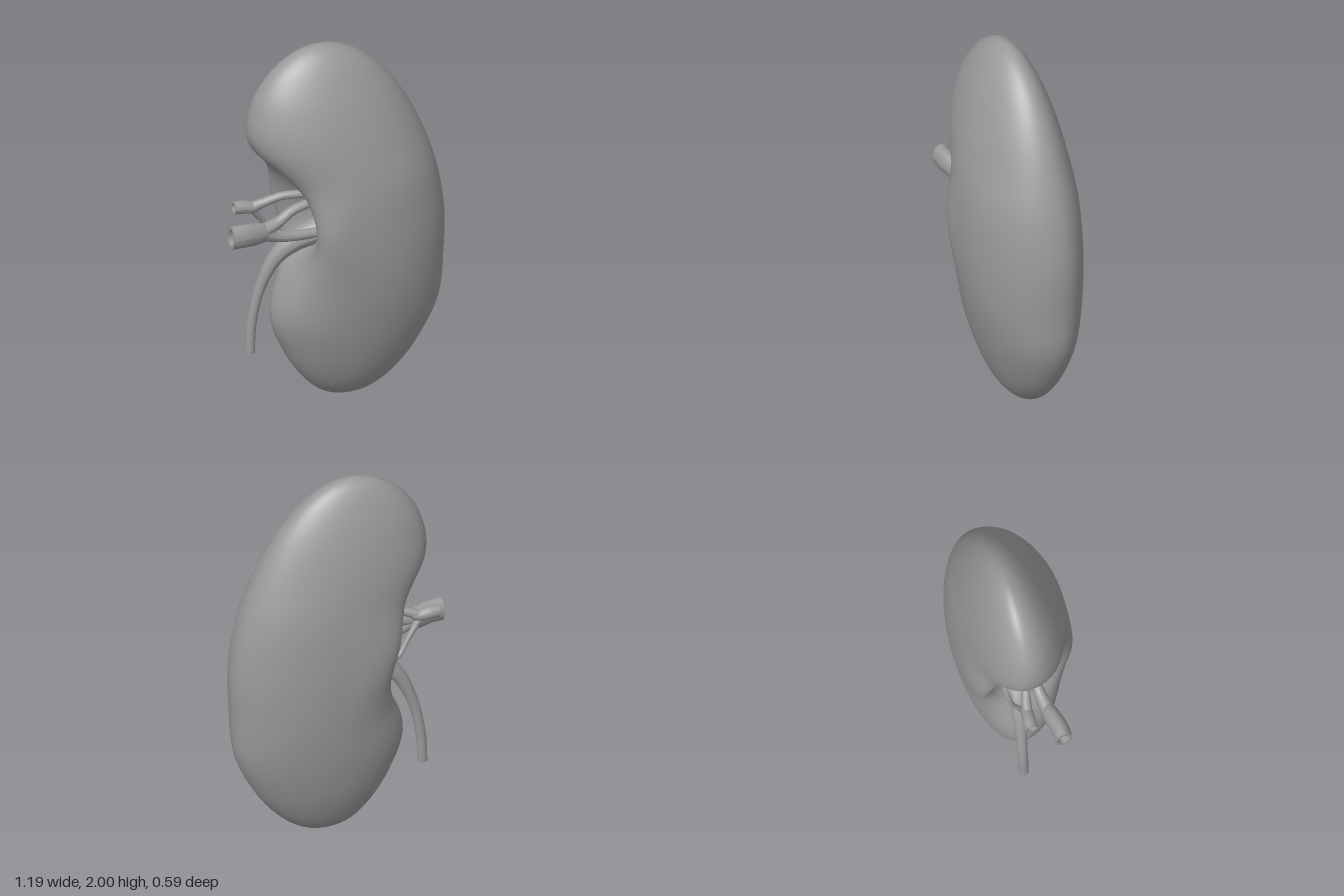
import * as THREE from 'three';
import { mergeVertices } from 'three/addons/utils/BufferGeometryUtils.js';

const V = (p) => new THREE.Vector3(...p);

// Smooth interpolation through evenly spaced stations, t in 0..1
function sample(list, t) {
  const f = t * (list.length - 1), i = Math.min(Math.floor(f), list.length - 2), u = f - i;
  const at = (k) => list[Math.max(0, Math.min(list.length - 1, k))];
  const a = at(i - 1), b = at(i), c = at(i + 1), d = at(i + 2);
  return b + 0.5 * u * (c - a + u * (2 * a - 5 * b + 4 * c - d + u * (3 * (b - c) + d - a)));
}

// Outline of the body at heights y = 1 - cos(pi t), from bottom to top
const leftEdge = [0.08, -0.055, -0.165, -0.265, -0.335, -0.3, -0.245, -0.305, -0.45, -0.435, -0.34, -0.205, -0.07];
const rightEdge = [0.08, 0.215, 0.345, 0.465, 0.56, 0.582, 0.585, 0.54, 0.455, 0.345, 0.215, 0.07, -0.07];
const frontEdge = [-0.04, 0.03, 0.105, 0.172, 0.232, 0.278, 0.296, 0.285, 0.242, 0.18, 0.105, 0.03, -0.04];
const backEdge = [-0.04, -0.098, -0.155, -0.21, -0.253, -0.28, -0.291, -0.282, -0.254, -0.21, -0.155, -0.098, -0.04];
const rimZ = -0.04;

const bump = (v, centre, width) => Math.exp(-(((v - centre) / width) ** 2));

function bodyGeometry(rows = 72, cols = 80) {
  const pos = [], index = [];
  for (let i = 0; i <= rows; i++) {
    const t = i / rows, y = 1 - Math.cos(Math.PI * t);
    const hilum = bump(y, 1.03, 0.25), backLip = 0.085 * bump(y, 1.14, 0.28);
    const xl = sample(leftEdge, t), xr = sample(rightEdge, t);
    const zf = sample(frontEdge, t), zb = sample(backEdge, t);
    const cx = (xl + xr) / 2 - 0.08 * hilum;
    for (let j = 0; j < cols; j++) {
      const a = (j / cols) * Math.PI * 2, c = Math.cos(a), s = Math.sin(a);
      let x = cx + (xr - cx) * c;
      if (c < 0) {
        // blunt lips with a hollow between them, the back lip a little further out
        x = cx - (cx - xl) * Math.pow(-c, 1 - 0.55 * hilum);
        x += 0.2 * hilum * bump(a, Math.PI, 0.55);
        if (s < 0) x -= backLip * 2 * s * c;
      }
      pos.push(x, y, rimZ + (s > 0 ? zf - rimZ : rimZ - zb) * s);
      if (i < rows) {
        const p = i * cols + j, q = i * cols + ((j + 1) % cols);
        if (i < rows - 1) index.push(p, p + cols, q + cols);
        if (i > 0) index.push(p, q + cols, q);
      }
    }
  }
  let g = new THREE.BufferGeometry();
  g.setAttribute('position', new THREE.Float32BufferAttribute(pos, 3));
  g.setIndex(index);
  g = mergeVertices(g, 1e-5);
  g.computeVertexNormals();
  return g;
}

// Tapered tube; squash narrows it in z
function taperedTube(curve, radii, squash = 1, segments = 28, sides = 18) {
  const g = new THREE.TubeGeometry(curve, segments, 1, sides);
  const p = g.attributes.position, v = new THREE.Vector3();
  for (let k = 0; k < p.count; k++) {
    const t = Math.floor(k / (sides + 1)) / segments;
    const o = curve.getPointAt(t);
    v.fromBufferAttribute(p, k).sub(o).multiplyScalar(sample(radii, t));
    p.setXYZ(k, o.x + v.x, o.y + v.y, o.z + v.z * squash);
  }
  g.computeVertexNormals();
  return g;
}

export function createModel() {
  const model = new THREE.Group();
  const grey = new THREE.MeshStandardMaterial({ color: 0x999999, side: THREE.DoubleSide });
  grey.name = 'grey';

  const add = (name, geometry) => {
    const mesh = new THREE.Mesh(geometry, grey);
    mesh.name = name;
    model.add(mesh);
    return mesh;
  };

  // A vessel starts at its cut end; open ones get an inner wall and a rim
  const vessel = (name, points, radii, { squash = 1, open = false } = {}) => {
    const curve = new THREE.CatmullRomCurve3(points.map(V));
    add(name, taperedTube(curve, radii, squash));
    if (!open) return;
    add(name + 'InnerWall', taperedTube(curve, radii.map((r) => r * 0.72), squash));
    const rim = add(name + 'Rim', new THREE.RingGeometry(radii[0] * 0.72, radii[0], 18));
    rim.position.copy(curve.getPointAt(0));
    rim.quaternion.setFromUnitVectors(new THREE.Vector3(0, 0, 1), curve.getTangentAt(0).negate());
    rim.scale.x = squash;
  };

  add('kidneyBody', bodyGeometry());

  // Vein: thick trunk and two branches
  vessel('veinTrunk', [[-0.595, 1.055, 0.081], [-0.53, 1.053, 0.079], [-0.44, 1.04, 0.06], [-0.35, 1.03, 0.045]],
    [0.063, 0.062, 0.056, 0.033], { squash: 0.72, open: true });
  vessel('veinUpperBranch', [[-0.42, 1.045, 0.055], [-0.33, 1.07, 0.04], [-0.24, 1.12, 0.03], [-0.05, 1.16, 0.02]],
    [0.036, 0.028, 0.024, 0.024]);
  vessel('veinLowerBranch', [[-0.42, 1.035, 0.055], [-0.34, 1.0, 0.045], [-0.25, 0.98, 0.04], [-0.03, 0.97, 0.03]],
    [0.036, 0.028, 0.026, 0.024]);

  // Artery: short trunk with an upper and a thin lower branch
  vessel('arteryTrunk', [[-0.523, 1.14, -0.065], [-0.475, 1.138, -0.064], [-0.43, 1.13, -0.06], [-0.38, 1.135, -0.055]],
    [0.034, 0.034, 0.031, 0.022], { open: true });
  vessel('arteryUpperBranch', [[-0.43, 1.13, -0.06], [-0.36, 1.155, -0.045], [-0.28, 1.185, -0.02], [-0.18, 1.188, 0], [-0.02, 1.185, 0]],
    [0.027, 0.022, 0.021, 0.02]);
  vessel('arteryLowerBranch', [[-0.43, 1.125, -0.06], [-0.36, 1.03, -0.08], [-0.28, 0.93, -0.1], [-0.1, 0.9, -0.1]],
    [0.02, 0.013, 0.013, 0.016]);

  // Ureter: widens into the pelvis inside the hollow
  vessel('ureter', [[-0.43, 0.297, -0.08], [-0.422, 0.45, -0.08], [-0.38, 0.65, -0.075], [-0.3, 0.82, -0.06], [-0.2, 0.91, -0.04], [-0.03, 0.97, -0.02]],
    [0.026, 0.026, 0.028, 0.038, 0.058, 0.075], { open: true });

  return model;
}
